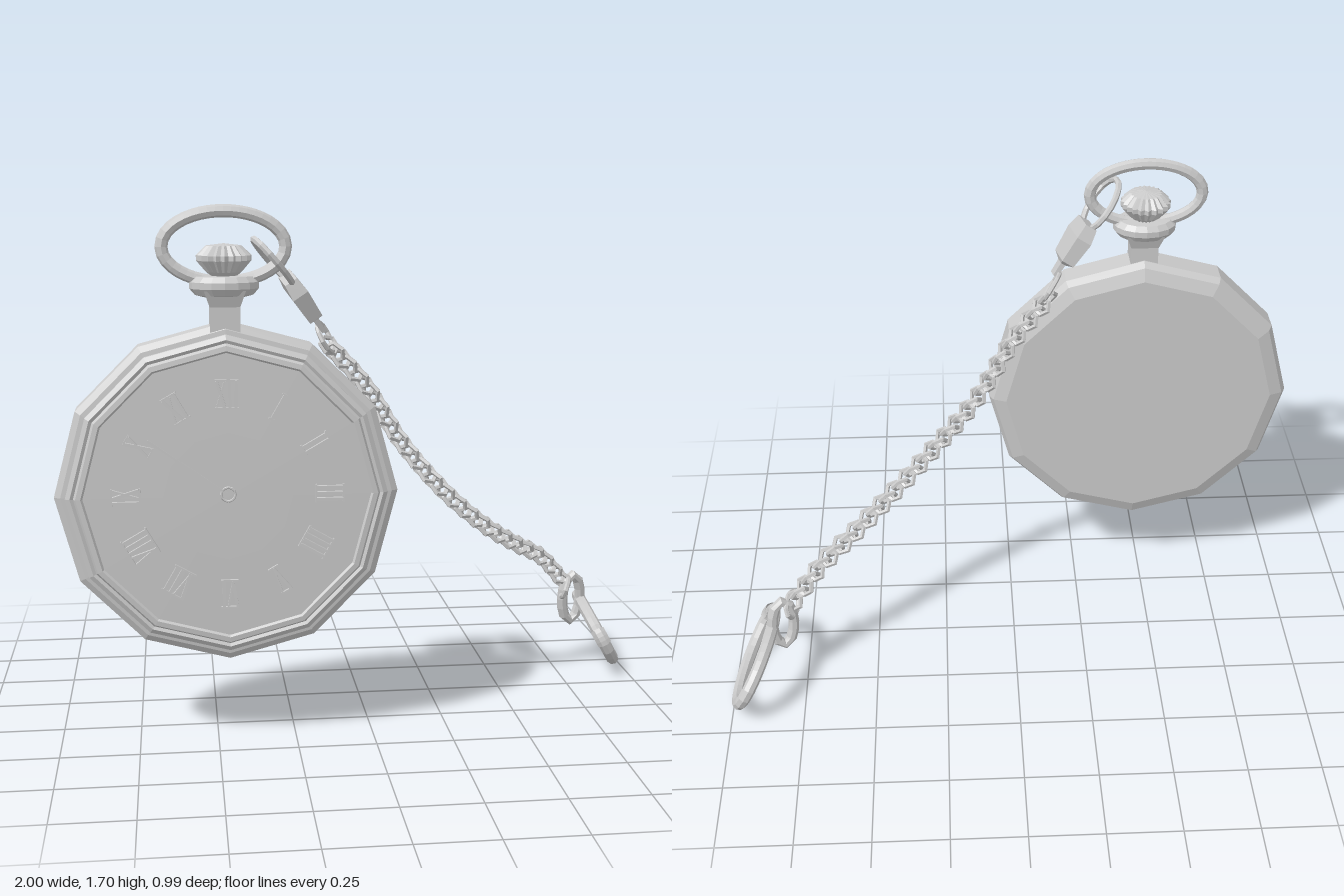
import * as THREE from 'three';

const material = new THREE.MeshStandardMaterial({ color: 0xcccccc, flatShading: true, side: THREE.DoubleSide });
const V = (x, y, z) => new THREE.Vector3(x, y, z);
const CX = -0.46, CY = 0.818, CZ = 0.38;

function part(parent, name, geometry, x = 0, y = 0, z = 0) {
  const mesh = new THREE.Mesh(geometry, material);
  mesh.name = name;
  mesh.position.set(x, y, z);
  parent.add(mesh);
  return mesh;
}

const lathe = (points, sides, start = 0) =>
  new THREE.LatheGeometry(points.map(([r, h]) => new THREE.Vector2(r, h)), sides, start);

// Elliptical arc spanned by two half-axes, used for every ring
class Ellipse3 extends THREE.Curve {
  constructor(centre, u, v, from = 0, to = Math.PI * 2) {
    super();
    Object.assign(this, { centre, u, v, from, to });
  }
  getPoint(t, target = V(0, 0, 0)) {
    const a = this.from + (this.to - this.from) * t;
    return target.copy(this.centre).addScaledVector(this.u, Math.cos(a)).addScaledVector(this.v, Math.sin(a));
  }
}

function ring(parent, name, centre, u, v, tube, segments = 24, sides = 8) {
  return part(parent, name, new THREE.TubeGeometry(new Ellipse3(centre, u, v), segments, tube, sides, true));
}

// Turn a mesh so its y axis follows dir and its z axis stays near side
function orient(mesh, dir, side) {
  const y = dir.clone().normalize();
  const x = y.clone().cross(side).normalize();
  mesh.quaternion.setFromRotationMatrix(new THREE.Matrix4().makeBasis(x, y, x.clone().cross(y)));
}

// Hour mark: upright (i), wedge (v) and crossed (x) strokes closed by thin end bars
function hourMark(pattern) {
  const mark = new THREE.Group();
  mark.name = 'hourMark';
  const widths = { i: 0.019, v: 0.036, x: 0.036 };
  const total = [...pattern].reduce((sum, c) => sum + widths[c], 0);
  const stroke = (x, tilt, w) => {
    part(mark, 'stroke', new THREE.BoxGeometry(w, 0.084, 0.012), x).rotation.z = tilt;
  };
  let x = -total / 2;
  for (const c of pattern) {
    const mid = x + widths[c] / 2;
    if (c === 'i') stroke(mid, 0, 0.009);
    if (c === 'v') { stroke(mid - 0.007, 0.18, 0.009); stroke(mid + 0.007, -0.18, 0.005); }
    if (c === 'x') { stroke(mid, 0.3, 0.009); stroke(mid, -0.3, 0.005); }
    x += widths[c];
  }
  for (const y of [-0.043, 0.043]) part(mark, 'endBar', new THREE.BoxGeometry(total, 0.005, 0.01), 0, y);
  return mark;
}

function createWatch() {
  const watch = new THREE.Group();
  watch.name = 'watch';

  // Twelve-sided case with bevelled back and stepped front bezel
  const body = lathe([
    [0, 0.288], [0.475, 0.288], [0.52, 0.305], [0.535, 0.33], [0.535, 0.415], [0.515, 0.428],
    [0.5, 0.43], [0.5, 0.445], [0.485, 0.455], [0.475, 0.45], [0.468, 0.462], [0.452, 0.464],
    [0.446, 0.456], [0.2, 0.461], [0, 0.462],
  ], 12).rotateX(Math.PI / 2);
  part(watch, 'case', body, CX, CY, 0);

  // Hour marks around the dial, starting at the top
  const patterns = ['xii', 'i', 'ii', 'iii', 'iiii', 'v', 'vi', 'vii', 'viii', 'ix', 'x', 'xi'];
  patterns.forEach((pattern, i) => {
    const a = (i * Math.PI) / 6;
    const mark = hourMark(pattern);
    mark.position.set(CX + Math.sin(a) * 0.315, CY + 0.005 + Math.cos(a) * 0.315, 0.464);
    mark.rotation.z = -a;
    watch.add(mark);
  });

  // Hand and centre pivot
  const hand = part(watch, 'hand', new THREE.BoxGeometry(0.007, 0.3, 0.004).translate(0, 0.15, 0), CX, CY + 0.007, 0.464);
  hand.rotation.z = 0.955;
  part(watch, 'pivot', new THREE.TorusGeometry(0.022, 0.004, 6, 12), CX, CY + 0.007, 0.463);

  // Neck and collar
  part(watch, 'neck', lathe([[0.066, 1.31], [0.066, 1.40], [0.09, 1.45]], 4, Math.PI / 4), CX, 0, CZ);
  const collar = lathe([[0.03, 1.42], [0.09, 1.435], [0.107, 1.455], [0.107, 1.475], [0.09, 1.492], [0, 1.495]], 16);
  part(watch, 'collar', collar.scale(1, 1, 0.75), CX, 0, CZ);

  // Ribbed winding crown
  const crown = lathe([[0.03, 1.485], [0.055, 1.505], [0.085, 1.54], [0.085, 1.556], [0.055, 1.585], [0, 1.592]], 40);
  const p = crown.attributes.position;
  for (let i = 0; i < p.count; i++) {
    const rib = Math.floor(i / 6) % 2 ? 0.87 : 1;
    p.setXYZ(i, p.getX(i) * rib, p.getY(i), p.getZ(i) * rib);
  }
  part(watch, 'crown', crown, CX, 0, CZ);

  // Bow
  ring(watch, 'bow', V(CX, 1.582, CZ), V(0.19, 0, 0), V(0, 0.108, 0), 0.02, 40, 8);
  return watch;
}

function createChain() {
  const chain = new THREE.Group();
  chain.name = 'chain';

  // Clasp: loop through the bow, wedge body and small connecting ring
  ring(chain, 'claspLoop', V(-0.31, 1.535, 0.4), V(0.06, -0.07, -0.015), V(0, 0.01, 0.088), 0.011, 16, 6);
  const start = V(-0.265, 1.485, 0.365), end = V(-0.15, 1.315, 0.32);
  const body = lathe([[0, 0], [0.085, 0], [0.108, 0.05], [0.09, 0.145], [0.035, 0.16], [0.03, 0.21], [0, 0.21]], 4, Math.PI / 4);
  const clasp = part(chain, 'claspBody', body.scale(0.36, 1, 1), start.x, start.y, start.z);
  orient(clasp, end.clone().sub(start), V(0, 0, 1));
  ring(chain, 'upperRing', V(-0.14, 1.29, 0.28), V(0.025, -0.045, 0), V(0.012, 0.01, -0.058), 0.008, 12, 6);

  // Hexagonal links rolled alternately either way along a sagging path
  const path = new THREE.CatmullRomCurve3([
    V(-0.125, 1.26, 0.255), V(0, 1.12, 0.2), V(0.125, 0.924, 0.153), V(0.275, 0.748, 0.115),
    V(0.435, 0.604, 0.035), V(0.57, 0.51, -0.06), V(0.68, 0.44, -0.14), V(0.775, 0.335, -0.2),
  ]);
  const link = new THREE.TorusGeometry(0.032, 0.0085, 5, 6);
  const count = 44;
  for (let i = 0; i < count; i++) {
    const t = i / (count - 1);
    const at = path.getPointAt(t);
    const mesh = part(chain, 'link', link, at.x, at.y, at.z);
    orient(mesh, path.getTangentAt(t), V(0, 0, 1));
    mesh.rotateY(((i % 2 ? 1 : -1) * Math.PI) / 4);
    mesh.rotateX(0.3);
  }

  // Lower rings and the large oval end ring with its hinge sleeve
  ring(chain, 'lowerRing', V(0.785, 0.31, -0.19), V(0.012, 0.035, 0), V(0.012, 0, -0.058), 0.009, 12, 6);
  ring(chain, 'ovalLink', V(0.818, 0.258, -0.226), V(0.036, 0, -0.012), V(0, 0.088, 0.01), 0.019, 12, 8);
  const c = V(0.92, 0.135, -0.257), u = V(-0.022, 0, 0.209), v = V(0.06, -0.108, 0);
  ring(chain, 'endRing', c, u, v, 0.022, 32, 8);
  part(chain, 'endRingSleeve', new THREE.TubeGeometry(new Ellipse3(c, u, v, -0.4, 0), 4, 0.027, 8));
  return chain;
}

export function createModel() {
  const model = new THREE.Group();
  model.name = 'pocketWatch';
  model.add(createWatch(), createChain());
  return model;
}
